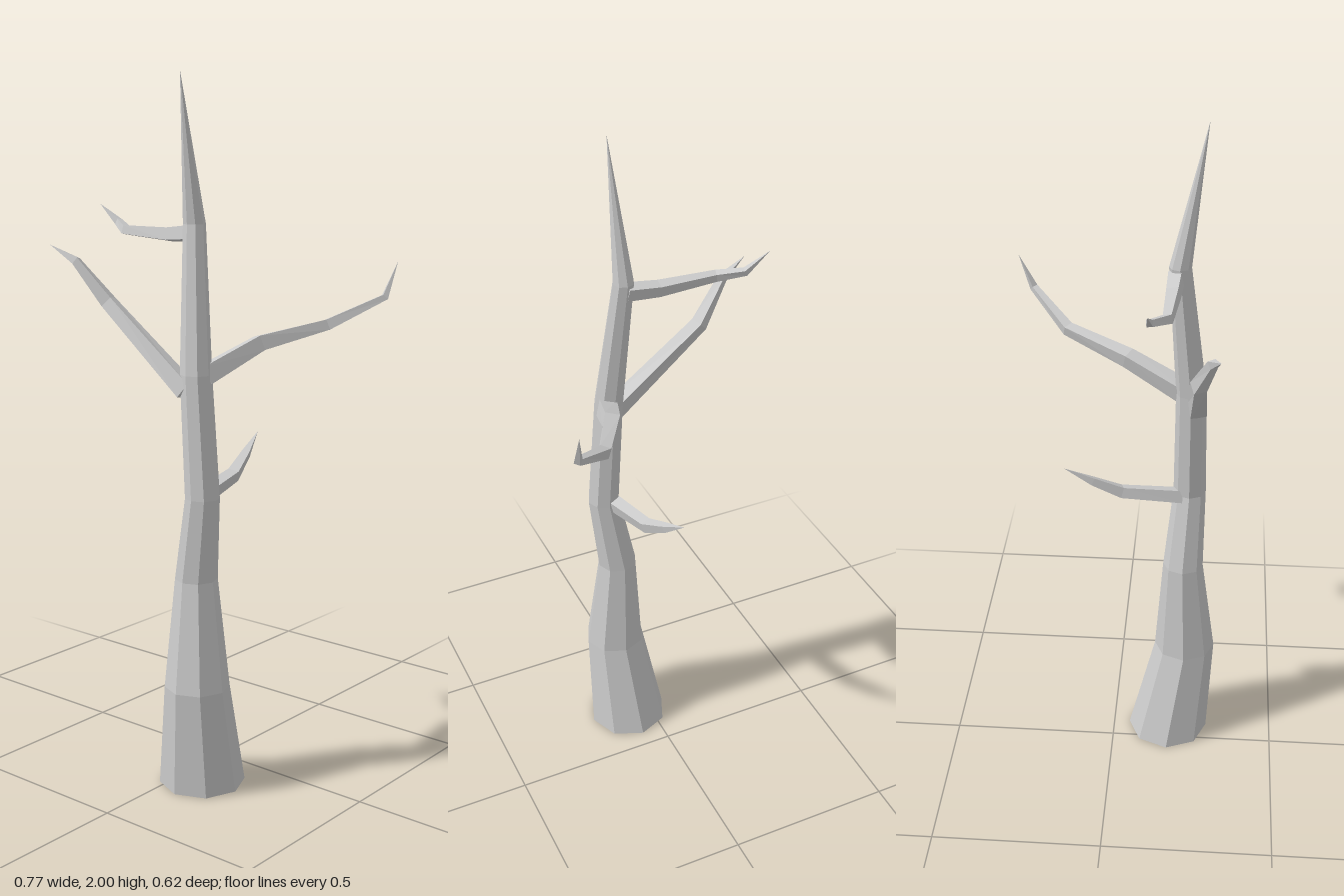
import * as THREE from 'three';

const material = new THREE.MeshStandardMaterial({ color: 0xcccccc, flatShading: true });
const UP = new THREE.Vector3(0, 1, 0);

// Skin a list of equal-sized rings, closing the first and pointing the last at a tip
function loft(name, rings, baseCentre, tip) {
  const pos = [];
  const tri = (...pts) => pts.forEach(p => pos.push(p.x, p.y, p.z));
  const n = rings[0].length;
  for (let i = 0; i < n; i++) {
    const j = (i + 1) % n;
    tri(baseCentre, rings[0][i], rings[0][j]);
    for (let k = 0; k < rings.length - 1; k++) {
      const a = rings[k], b = rings[k + 1];
      tri(a[i], b[i], a[j]);
      tri(a[j], b[i], b[j]);
    }
    const last = rings[rings.length - 1];
    tri(last[i], tip, last[j]);
  }
  const geometry = new THREE.BufferGeometry();
  geometry.setAttribute('position', new THREE.Float32BufferAttribute(pos, 3));
  geometry.computeVertexNormals();
  const mesh = new THREE.Mesh(geometry, material);
  mesh.name = name;
  return mesh;
}

// Ring of n corners around c, spanned by axes u and v
function ring(c, u, v, r, n, turn) {
  return Array.from({ length: n }, (_, i) => {
    const a = turn + (i / n) * Math.PI * 2;
    return c.clone().addScaledVector(u, r * Math.cos(a)).addScaledVector(v, r * Math.sin(a));
  });
}

// Eight-sided trunk with level rings: [x, y, z, radius]
function makeTrunk() {
  const stations = [
    [0.067, 0, 0.172, 0.123],
    [0.088, 0.31, 0.218, 0.092],
    [0.077, 0.62, 0.207, 0.06],
    [0.111, 0.86, 0.22, 0.048],
    [0.087, 1.2, 0.217, 0.044],
    [0.05, 1.6, 0.178, 0.031],
  ];
  const x = new THREE.Vector3(1, 0, 0), z = new THREE.Vector3(0, 0, 1);
  const rings = stations.map(([px, py, pz, r]) =>
    ring(new THREE.Vector3(px, py, pz), x, z, r, 8, 0));
  return loft('trunk', rings, new THREE.Vector3(0.067, 0, 0.172), new THREE.Vector3(0.06, 2, 0.245));
}

// Four-sided branch along bent points [x, y, z, half width], ending in a point
function makeBranch(name, roll, stations) {
  const pts = stations.map(([x, y, z]) => new THREE.Vector3(x, y, z));
  const rings = [];
  for (let k = 0; k < pts.length - 1; k++) {
    const ahead = pts[k + 1].clone().sub(pts[k]).normalize();
    const behind = k ? pts[k].clone().sub(pts[k - 1]).normalize() : ahead;
    const t = ahead.clone().add(behind).normalize();
    const u = t.clone().cross(UP).normalize();
    const v = u.clone().cross(t);
    rings.push(ring(pts[k], u, v, stations[k][3] * Math.SQRT2, 4, Math.PI / 4 + roll));
  }
  return loft(name, rings, pts[0], pts[pts.length - 1]);
}

export function createModel() {
  const tree = new THREE.Group();
  tree.name = 'bareTree';
  tree.add(
    makeTrunk(),
    makeBranch('backLeftBranch', 0.2, [
      [0.1, 1.195, 0.2, 0.026], [0.158, 1.27, 0.03, 0.021],
      [0.255, 1.31, -0.153, 0.015], [0.373, 1.387, -0.265, 0.009], [0.385, 1.485, -0.31]]),
    makeBranch('rightBranch', -0.2, [
      [0.07, 1.155, 0.235, 0.024], [-0.213, 1.375, 0.24, 0.018],
      [-0.303, 1.487, 0.275, 0.011], [-0.385, 1.53, 0.296]]),
    makeBranch('upperRightBranch', -0.2, [
      [0.045, 1.575, 0.168, 0.019], [-0.05, 1.566, 0.164, 0.017], [-0.222, 1.57, 0.156, 0.012],
      [-0.29, 1.588, 0.113, 0.009], [-0.365, 1.637, 0.111]]),
    makeBranch('lowerBackBranch', -0.2, [
      [0.09, 0.855, 0.2, 0.019], [0.058, 0.88, 0.02, 0.016],
      [0.037, 0.925, -0.065, 0.011], [0.017, 0.975, -0.145]]),
  );
  return tree;
}
